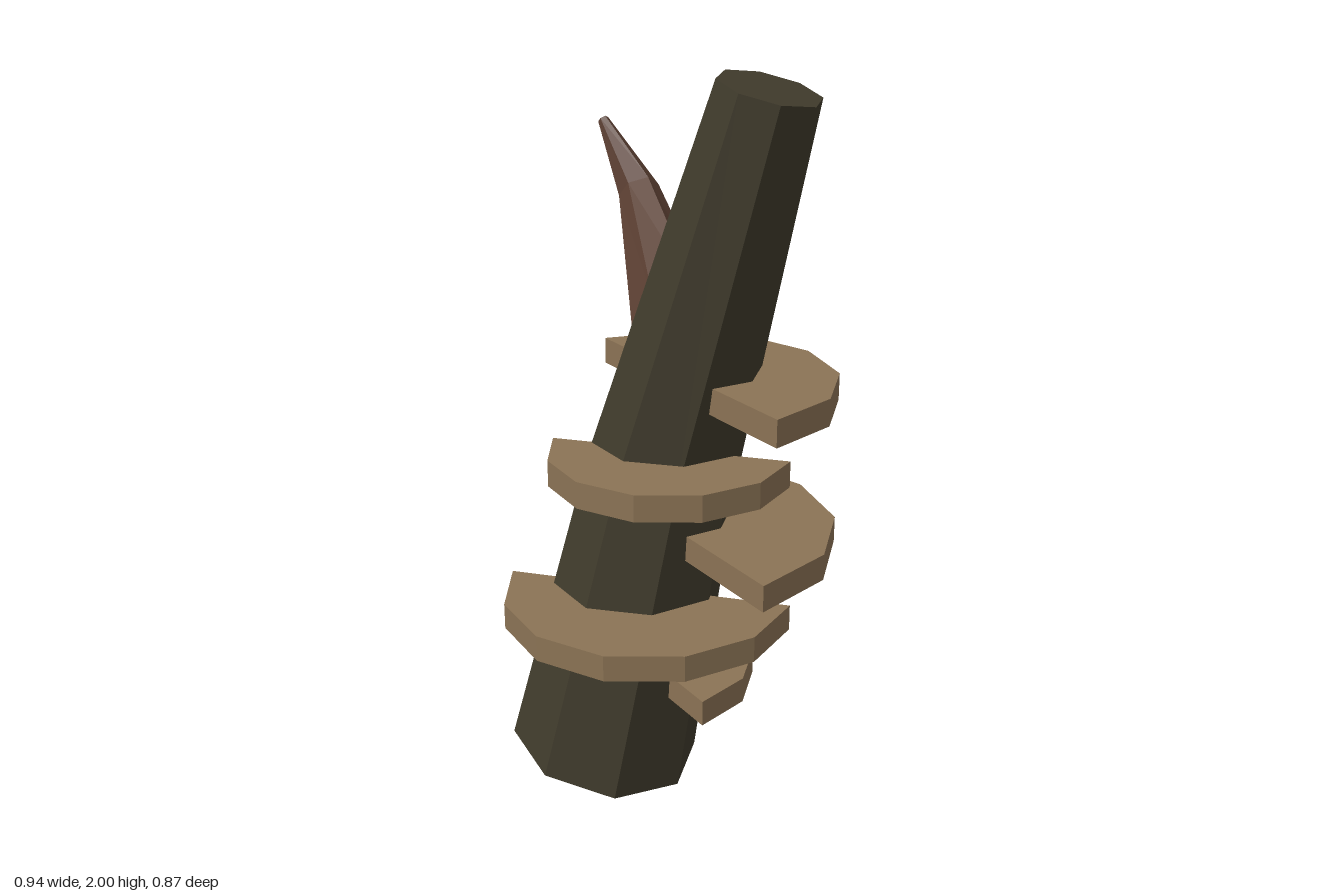
import * as THREE from 'three';

const material = (name, color) => {
  const m = new THREE.MeshStandardMaterial({ color });
  m.name = name;
  return m;
};

// Faceted tapered limb: each ring is { at: [x,y,z], axis: [x,y,z], r }
function limb(rings, sides, phase = 0) {
  const up = new THREE.Vector3(0, 1, 0);
  const loops = rings.map(({ at, axis, r }) => {
    const turn = new THREE.Quaternion().setFromUnitVectors(up, new THREE.Vector3(...axis).normalize());
    return Array.from({ length: sides }, (_, k) => {
      const a = phase + (k / sides) * Math.PI * 2;
      return new THREE.Vector3(Math.cos(a) * r, 0, Math.sin(a) * r)
        .applyQuaternion(turn).add(new THREE.Vector3(...at));
    });
  });
  const positions = [];
  const tri = (...pts) => pts.forEach((p) => positions.push(p.x, p.y, p.z));
  const first = new THREE.Vector3(...rings[0].at);
  const last = new THREE.Vector3(...rings[rings.length - 1].at);
  for (let k = 0; k < sides; k++) {
    const n = (k + 1) % sides;
    for (let i = 0; i < loops.length - 1; i++) {
      const lo = loops[i], hi = loops[i + 1];
      tri(lo[k], hi[k], hi[n]);
      tri(lo[k], hi[n], lo[n]);
    }
    tri(first, loops[0][k], loops[0][n]);
    tri(last, loops[loops.length - 1][n], loops[loops.length - 1][k]);
  }
  const g = new THREE.BufferGeometry();
  g.setAttribute('position', new THREE.Float32BufferAttribute(positions, 3));
  g.computeVertexNormals();
  return g;
}

// Half-disc shelf with six outer facets; side -1 bulges to the back, +1 to the front
function shelf(radius, side, thickness) {
  const start = -side * THREE.MathUtils.degToRad(21);
  const shape = new THREE.Shape();
  for (let k = 0; k <= 6; k++) {
    const a = start + side * (k * Math.PI) / 6;
    const x = Math.cos(a) * radius, y = -Math.sin(a) * radius;
    if (k === 0) shape.moveTo(x, y);
    else shape.lineTo(x, y);
  }
  shape.closePath();
  return new THREE.ExtrudeGeometry(shape, { depth: thickness, bevelEnabled: false })
    .rotateX(-Math.PI / 2);
}

export function createModel() {
  const group = new THREE.Group();
  group.name = 'deadTree';
  const bark = material('dark bark', 0x403b2c);
  const wood = material('branch brown', 0x5c4033);
  const fungus = material('fungus tan', 0x8b7355);
  bark.flatShading = wood.flatShading = fungus.flatShading = true;

  const add = (name, geometry, mat) => {
    const mesh = new THREE.Mesh(geometry, mat);
    mesh.name = name;
    group.add(mesh);
    return mesh;
  };

  // Leaning, slightly bent trunk
  add('trunk', limb([
    { at: [-0.208, 0.058, 0.037], axis: [0.21, 1, -0.045], r: 0.2725 },
    { at: [-0.03, 0.98, -0.028], axis: [0.25, 1, -0.03], r: 0.208 },
    { at: [0.267, 1.965, -0.037], axis: [0.27, 1, 0], r: 0.1325 },
  ], 8), bark);

  // Broken branch stub
  add('branch', limb([
    { at: [0.03, 1.37, 0.01], axis: [-0.6, 0.7, -0.45], r: 0.115 },
    { at: [-0.235, 1.65, -0.18], axis: [-0.65, 0.7, -0.35], r: 0.056 },
    { at: [-0.39, 1.82, -0.223], axis: [-0.7, 0.7, -0.2], r: 0.015 },
  ], 6, 0.3), wood);

  // Shelf fungi alternating back and front: [x, bottom y, z, radius, side]
  [
    [-0.08, 0.315, 0.035, 0.325, -1],
    [-0.045, 0.528, 0.038, 0.4, 1],
    [-0.005, 0.742, 0.033, 0.475, -1],
    [0.028, 0.955, 0.037, 0.325, 1],
    [0.071, 1.167, 0.032, 0.403, -1],
  ].forEach(([x, y, z, r, side], i) => {
    add(`shelfFungus${i + 1}`, shelf(r, side, 0.072), fungus).position.set(x, y, z);
  });

  return group;
}
